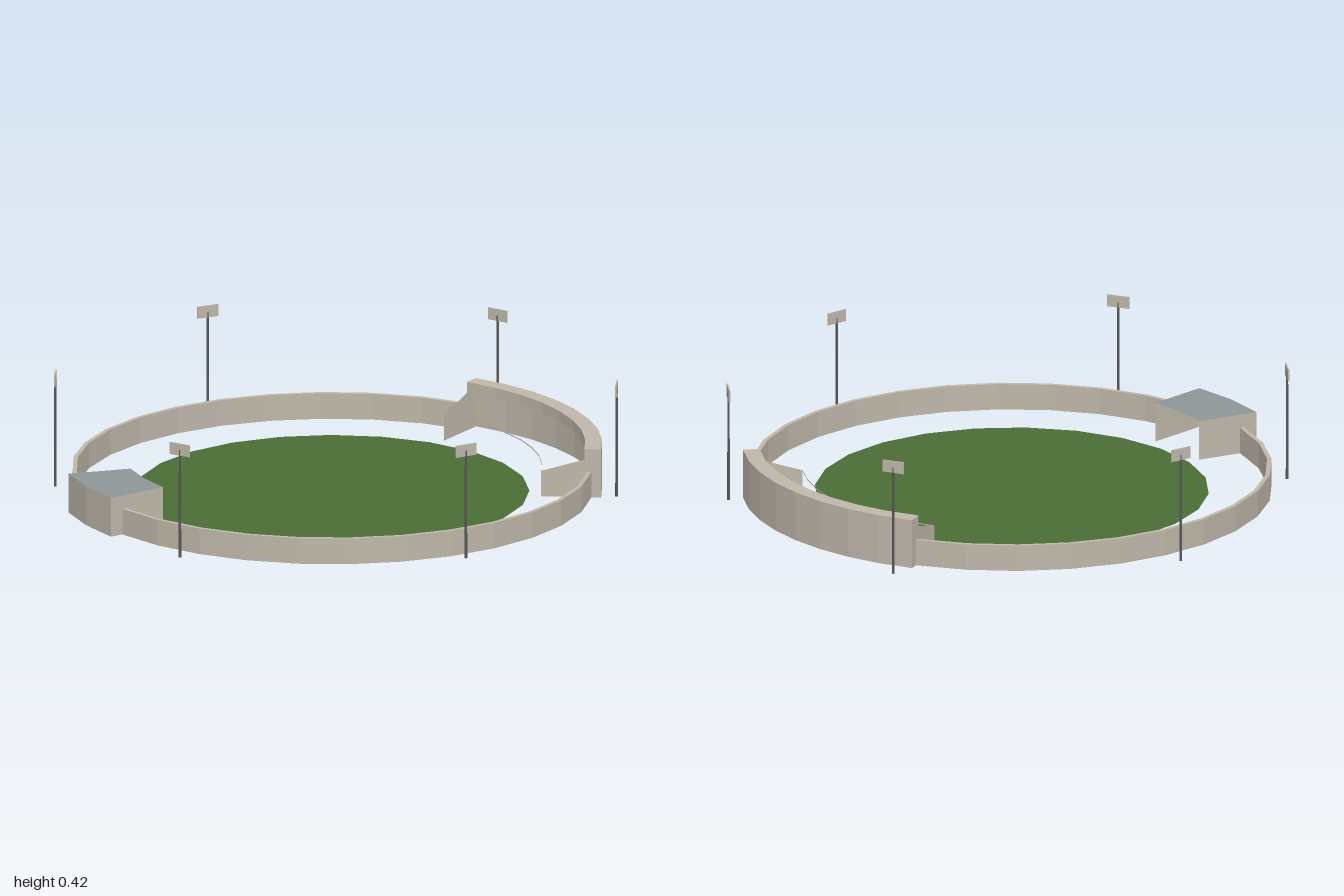
import * as THREE from 'three';

const rad = THREE.MathUtils.degToRad;

function material(name, color) {
  const m = new THREE.MeshStandardMaterial({ color, flatShading: true, side: THREE.DoubleSide });
  m.name = name;
  return m;
}

export function createModel() {
  const stone = material('pale stone', 0xbeb6a9);
  const roofGrey = material('roof grey', 0x8d9597);
  const grass = material('grass green', 0x4a6d34);
  const steel = material('dark steel', 0x55575a);

  const model = new THREE.Group();
  model.name = 'sportsGround';

  // Everything circular shares this slightly offset centre
  const ground = new THREE.Group();
  ground.name = 'ground';
  ground.position.set(0.005, 0, 0.017);
  model.add(ground);

  function add(parent, name, geometry, mat) {
    const mesh = new THREE.Mesh(geometry, mat);
    mesh.name = name;
    parent.add(mesh);
    return mesh;
  }

  // Sweeps a [radius, height] profile round the centre; angles run from +z to +x
  function sweep(parent, name, profile, from, to, segments, mat) {
    const points = profile.map(([r, y]) => new THREE.Vector2(r, y));
    return add(parent, name, new THREE.LatheGeometry(points, segments, rad(from), rad(to - from)), mat);
  }

  // Upright flat panel standing along a radius
  function radialPanel(parent, name, outline, angle, mat) {
    const shape = new THREE.Shape(outline.map(([r, y]) => new THREE.Vector2(r, y)));
    return add(parent, name, new THREE.ShapeGeometry(shape).rotateY(rad(angle - 90)), mat);
  }

  // Playing field
  const field = new THREE.CircleGeometry(0.705, 24).rotateX(-Math.PI / 2).rotateY(rad(4));
  add(ground, 'playingField', field, grass).position.y = 0.001;

  // Boundary wall, in two arcs between the grandstand and the pavilion
  const wall = [[0.93, 0], [0.93, 0.095], [0.914, 0.095], [0.914, 0], [0.93, 0]];
  sweep(ground, 'backWall', wall, 121.5, 260, 12, stone);
  sweep(ground, 'frontWall', wall, -80, 58.5, 12, stone);

  // Grandstand: tall outer wall with a rim, sloped end panels and a thin front rail
  const stand = new THREE.Group();
  stand.name = 'grandstand';
  ground.add(stand);
  const standStart = 58.5, standEnd = 121.5;
  sweep(stand, 'standShell', [[0.965, 0], [0.965, 0.18], [0.905, 0.18], [0.905, 0.14]],
    standStart, standEnd, 8, stone);
  sweep(stand, 'standRail', [[0.75, 0.091], [0.75, 0.095]], standStart, standEnd, 8, stone);
  const endOutline = [[0.75, 0], [0.965, 0], [0.965, 0.18], [0.905, 0.18], [0.905, 0.14], [0.75, 0.095]];
  for (const angle of [standStart, standEnd]) {
    radialPanel(stand, 'standEnd', endOutline, angle, stone);
  }

  // Pavilion: open towards the field
  const pavilion = new THREE.Group();
  pavilion.name = 'pavilion';
  ground.add(pavilion);
  sweep(pavilion, 'pavilionRoof', [[0.98, 0.145], [0.75, 0.145]], 260, 280, 2, roofGrey);
  sweep(pavilion, 'pavilionBackWall', [[0.98, 0], [0.98, 0.145]], 260, 280, 2, stone);
  for (const angle of [260, 280]) {
    radialPanel(pavilion, 'pavilionSide', [[0.75, 0], [0.98, 0], [0.98, 0.145], [0.75, 0.145]], angle, stone);
  }

  // Floodlights: slim masts with lamp panels facing the field
  const masts = [[0.01, -0.995], [0.918, -0.495], [0.885, 0.53],
    [0.057, 0.99], [-0.855, 0.53], [-0.855, -0.475]];
  for (const [x, z] of masts) {
    const light = new THREE.Group();
    light.name = 'floodlight';
    light.position.set(x, 0, z);
    light.rotation.y = Math.atan2(x, z);
    add(light, 'mast', new THREE.CylinderGeometry(0.004, 0.005, 0.4, 6), steel).position.y = 0.2;
    add(light, 'lampPanel', new THREE.BoxGeometry(0.083, 0.044, 0.005), stone).position.y = 0.401;
    model.add(light);
  }

  return model;
}
